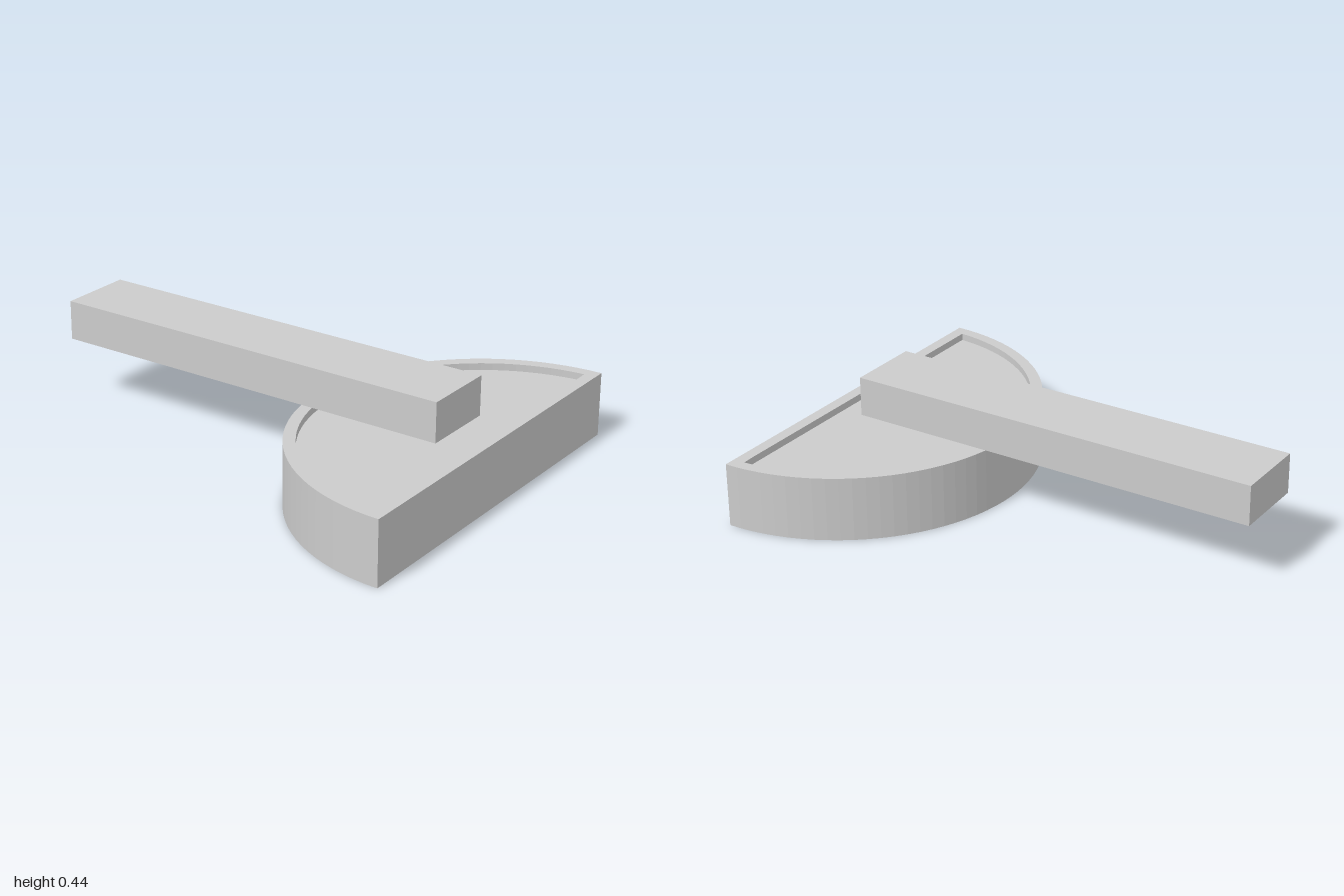
import * as THREE from 'three';

const RADIUS = 0.82, HEIGHT = 0.275, RIM = 0.05, RECESS = 0.03, ARC_STEPS = 48;

// Points of a disc cut off by a straight line at the given distance from its centre
function halfDisc(radius, cut) {
  const start = Math.asin(cut / radius);
  const points = [];
  for (let i = 0; i <= ARC_STEPS; i++) {
    const a = start + (Math.PI - 2 * start) * i / ARC_STEPS;
    points.push(new THREE.Vector2(radius * Math.cos(a), radius * Math.sin(a)));
  }
  return points;
}

export function createModel() {
  const group = new THREE.Group();
  const material = new THREE.MeshStandardMaterial({ color: 0xcccccc, flatShading: true });

  // Extrudes a plan outline upward, its flat side towards the front
  const slab = (name, shape, y, height) => {
    const geometry = new THREE.ExtrudeGeometry(shape, { depth: height, bevelEnabled: false });
    geometry.rotateX(-Math.PI / 2);
    const mesh = new THREE.Mesh(geometry, material);
    mesh.name = name;
    mesh.position.set(0, y, 1);
    group.add(mesh);
  };

  // Half-round body, with a thin raised rim around the recessed top
  slab('body', new THREE.Shape(halfDisc(RADIUS, 0)), 0, HEIGHT - RECESS);
  const rim = new THREE.Shape(halfDisc(RADIUS, 0));
  rim.holes.push(new THREE.Path(halfDisc(RADIUS - RIM, RIM)));
  slab('rim', rim, HEIGHT - RECESS, RECESS);

  // Straight bar resting on the rim and reaching out to the back
  const bar = new THREE.Mesh(new THREE.BoxGeometry(0.324, 0.17, 1.82), material);
  bar.name = 'handle';
  bar.position.set(0, HEIGHT + 0.085, -0.09);
  group.add(bar);

  return group;
}
